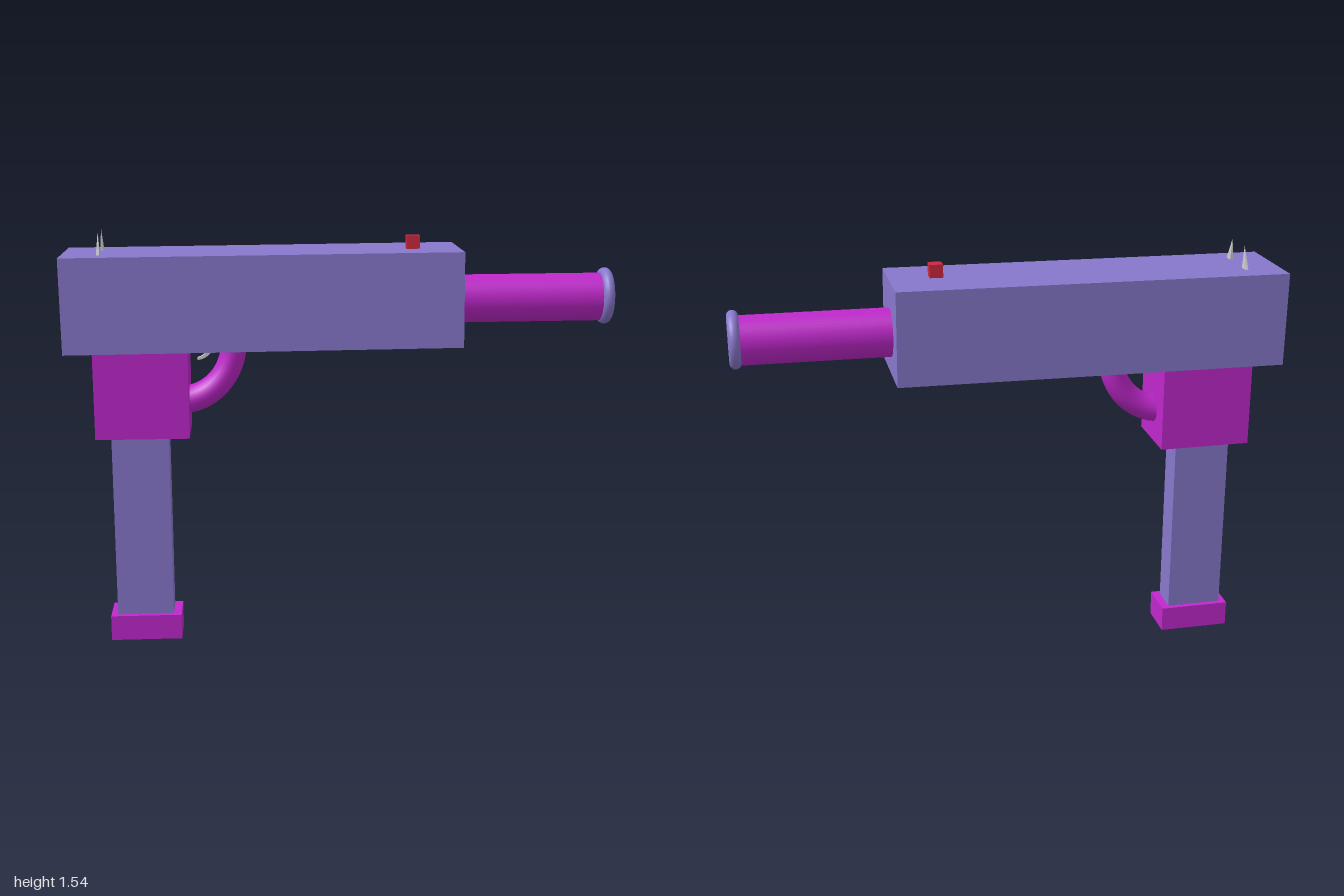
import * as THREE from 'three';

const mat = (color, extra = {}) => new THREE.MeshStandardMaterial({ color, ...extra });

export function createModel() {
  const root = new THREE.Group();
  const violet = mat(0x8878cc), magenta = mat(0xc028cc), red = mat(0xcc2840);
  const grey = mat(0xcccccc, { flatShading: true });

  const add = (name, geometry, material, x = 0, y = 0, z = 0) => {
    const mesh = new THREE.Mesh(geometry, material);
    mesh.name = name;
    mesh.position.set(x, y, z);
    root.add(mesh);
    return mesh;
  };
  // Box given by its extents
  const box = (name, material, [x0, x1], [y0, y1], [z0, z1]) =>
    add(name, new THREE.BoxGeometry(x1 - x0, y1 - y0, z1 - z0), material,
      (x0 + x1) / 2, (y0 + y1) / 2, (z0 + z1) / 2);

  // Body, tipped up very slightly towards the muzzle
  box('body', violet, [-1, 0.43], [1.12, 1.463], [-0.175, 0.173]).rotation.z = 0.008;

  // Grip: block, column and foot
  box('gripBlock', magenta, [-0.9, -0.56], [0.795, 1.125], [-0.127, 0.13]);
  box('magazine', violet, [-0.85, -0.64], [0.09, 0.8], [-0.057, 0.053]);
  box('magazineFoot', magenta, [-0.875, -0.61], [0, 0.095], [-0.077, 0.073]);

  // Barrel and muzzle ring
  add('barrel', new THREE.CylinderGeometry(0.088, 0.088, 0.58, 48), magenta, 0.69, 1.28, -0.003)
    .rotation.z = -Math.PI / 2 + 0.005;
  add('muzzleRing', new THREE.TorusGeometry(0.083, 0.021, 16, 48), violet, 0.977, 1.285, -0.002)
    .rotation.y = Math.PI / 2;

  // Trigger guard: quarter ring, wider across than it is thick
  const guard = add('triggerGuard', new THREE.TorusGeometry(0.2, 0.047, 20, 32, Math.PI / 2),
    mat(0xc028cc, { side: THREE.DoubleSide }), -0.595, 1.13, 0.008);
  guard.rotation.z = -Math.PI / 2;
  guard.scale.set(1.08, 1, 1.3);

  // Trigger: thin tapered crescent
  const crescent = new THREE.Shape();
  crescent.moveTo(-0.53, 1.062);
  crescent.quadraticCurveTo(-0.475, 1.068, -0.465, 1.13);
  crescent.lineTo(-0.482, 1.13);
  crescent.quadraticCurveTo(-0.49, 1.08, -0.53, 1.07);
  add('trigger', new THREE.ExtrudeGeometry(crescent, { depth: 0.02, bevelEnabled: false }),
    mat(0xcccccc), 0, 0, -0.01);

  // Front sight
  box('frontSight', red, [0.235, 0.283], [1.46, 1.515], [-0.006, 0.041]);

  // Rear sights: slim spikes whose tips lean inwards
  for (const side of [-1, 1]) {
    const spike = new THREE.ConeGeometry(0.5, 1, 4, 1).rotateY(Math.PI / 4);
    spike.scale(0.018, 0.09, 0.056);
    const p = spike.attributes.position;
    for (let i = 0; i < p.count; i++) {
      if (p.getY(i) > 0) p.setZ(i, p.getZ(i) - side * 0.019);
    }
    spike.computeVertexNormals();
    add(side > 0 ? 'leftRearSight' : 'rightRearSight', spike, grey,
      -0.868, 1.495, 0.005 + side * 0.081);
  }
  return root;
}
